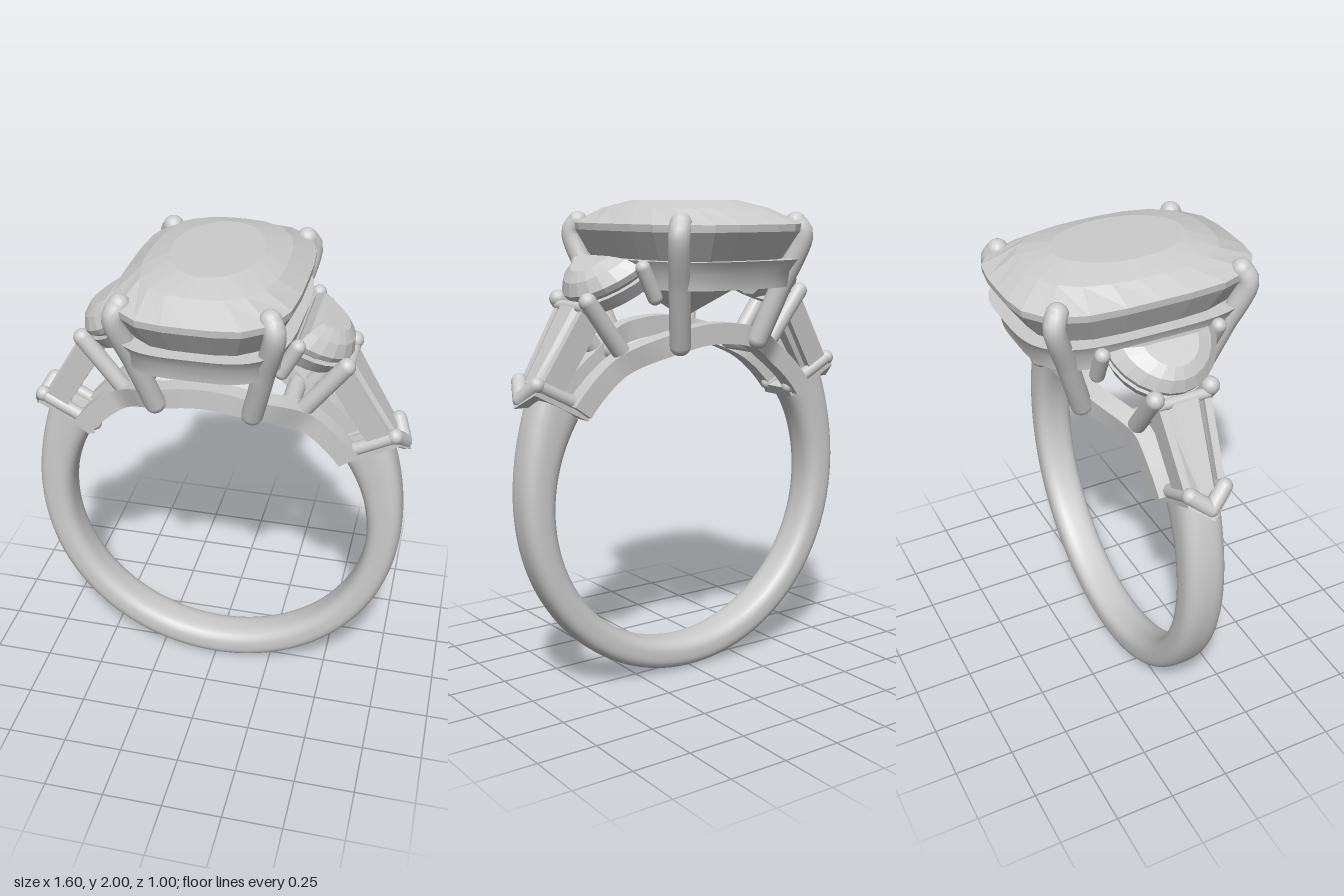
import * as THREE from 'three';
import { mergeGeometries, toCreasedNormals } from 'three/addons/utils/BufferGeometryUtils.js';

const V = (x, y, z) => new THREE.Vector3(x, y, z);
const RING_Y = 0.78, INNER_R = 0.65, RAD = Math.PI / 180;

// Skins equal-length point loops; ends are capped unless wrapped. Winding is fixed by volume.
function loft(loops, { wrap = false, crease = 0 } = {}) {
  const n = loops[0].length, pts = loops.flat(), tris = [];
  const rows = wrap ? loops.length : loops.length - 1;
  for (let i = 0; i < rows; i++) {
    for (let j = 0; j < n; j++) {
      const k = (j + 1) % n, a = i * n, b = ((i + 1) % loops.length) * n;
      tris.push([a + j, a + k, b + k], [a + j, b + k, b + j]);
    }
  }
  if (!wrap) {
    [0, loops.length - 1].forEach((row) => {
      const mid = V(0, 0, 0);
      loops[row].forEach((p) => mid.addScaledVector(p, 1 / n));
      const c = pts.push(mid) - 1;
      for (let j = 0; j < n; j++) {
        const a = row * n + j, b = row * n + (j + 1) % n;
        tris.push(row === 0 ? [c, b, a] : [c, a, b]);
      }
    });
  }
  let volume = 0;
  for (const [a, b, c] of tris) volume += pts[a].dot(V(0, 0, 0).crossVectors(pts[b], pts[c]));
  if (volume < 0) tris.forEach((t) => t.reverse());
  const geo = new THREE.BufferGeometry().setFromPoints(pts);
  geo.setIndex(tris.flat());
  if (crease) return toCreasedNormals(geo, crease);
  const flat = geo.toNonIndexed();
  flat.computeVertexNormals();
  return flat;
}

// Round bar along points, with domed ends
function bar(points, r) {
  const curve = points.length === 2 ? new THREE.LineCurve3(...points) : new THREE.CatmullRomCurve3(points);
  const parts = [new THREE.TubeGeometry(curve, points.length === 2 ? 1 : 24, r, 16)];
  for (const p of [points[0], points[points.length - 1]]) {
    parts.push(new THREE.SphereGeometry(r, 16, 12).translate(p.x, p.y, p.z));
  }
  return mergeGeometries(parts);
}

// Cushion-shaped outline in plan, evenly spread by angle
const cushionLoop = (n, x, z, y, { shift = 0, power = 3.6 } = {}) =>
  Array.from({ length: n }, (_, i) => {
    const a = (i + shift) / n * Math.PI * 2, c = Math.cos(a), s = Math.sin(a);
    const r = (Math.abs(c) ** power + Math.abs(s) ** power) ** (-1 / power);
    return V(x * r * c, y, z * r * s);
  });

export function createModel() {
  const group = new THREE.Group();
  const metal = new THREE.MeshStandardMaterial({ color: 0xcccccc });
  metal.name = 'paleGrey';
  const add = (name, geo) => {
    const mesh = new THREE.Mesh(geo, metal);
    mesh.name = name;
    group.add(mesh);
  };

  // Shank: rounded section that thickens toward the shoulders
  const shank = [];
  for (let i = 0; i <= 96; i++) {
    const t = i / 48 - 1, phi = (-90 + 124 * t) * RAD;
    const outer = 0.78 + 0.085 * Math.abs(t) ** 6;
    const mid = (outer + INNER_R) / 2, half = (outer - INNER_R) / 2;
    shank.push(cushionLoop(32, half, 0.087, 0, { power: 3 }).map((p) =>
      V((mid + p.x) * Math.cos(phi), RING_Y + (mid + p.x) * Math.sin(phi), p.z)));
  }
  add('shank', loft(shank, { crease: 0.7 }));

  // Gallery rails: close together at the shoulders, opening to a loop under the centre stone
  for (const s of [1, -1]) {
    const rail = [];
    for (let i = 0; i <= 56; i++) {
      const deg = 36 + 108 * i / 56, phi = deg * RAD;
      const open = THREE.MathUtils.smoothstep(90 - Math.abs(deg - 90), 54, 78);
      const z = 0.07 + 0.025 * Math.sin(phi) + 0.115 * open;
      const w = 0.038 + 0.03 * open * (1 - open);
      rail.push([[0.65, -w], [0.735, -w], [0.735, w], [0.65, w]].map(([r, dz]) =>
        V(r * Math.cos(phi), RING_Y + r * Math.sin(phi), s * (z + dz))));
    }
    add('galleryRail', loft(rail, { crease: 0.6 }));
  }

  // Centre stone: domed crown, thin girdle, pointed pavilion
  add('centreStone', loft([
    cushionLoop(24, 0.015, 0.02, 1.53),
    cushionLoop(24, 0.175, 0.25, 1.66, { shift: 0.5 }),
    cushionLoop(24, 0.29, 0.42, 1.77),
    cushionLoop(24, 0.348, 0.497, 1.88),
    cushionLoop(24, 0.35, 0.5, 1.908),
    cushionLoop(24, 0.27, 0.385, 1.968, { shift: 0.5, power: 2.8 }),
    cushionLoop(24, 0.18, 0.27, 2.0, { power: 2 }),
  ]));

  // Seat frame below the centre stone
  add('seatFrame', loft([
    cushionLoop(64, 0.345, 0.48, 1.77), cushionLoop(64, 0.285, 0.405, 1.77),
    cushionLoop(64, 0.255, 0.37, 1.66), cushionLoop(64, 0.315, 0.435, 1.66), cushionLoop(64, 0.32, 0.445, 1.72),
  ], { wrap: true, crease: 0.6 }));

  // Four main prongs, bent over the stone
  for (const sx of [1, -1]) {
    for (const sz of [1, -1]) {
      add('mainProng', bar([
        V(sx * 0.195, 1.44, sz * 0.255), V(sx * 0.25, 1.66, sz * 0.33),
        V(sx * 0.3, 1.87, sz * 0.4), V(sx * 0.28, 1.912, sz * 0.38),
      ], 0.043));
    }
  }

  for (const s of [1, -1]) {
    // Half-moon side stone, in a tilted frame: u downhill, n outward
    const moon = (u, n, z) => V(s * (0.35 + 0.84 * u + 0.54 * n), 1.74 - 0.54 * u + 0.84 * n, z);
    const moonLoop = (k, n) => {
      const loop = [];
      for (let i = 0; i <= 12; i++) {
        const a = (i / 12 - 0.5) * Math.PI;
        loop.push(moon(0.08 + k * (0.225 * Math.cos(a) ** 1.15 - 0.08), n, k * 0.22 * Math.sin(a)));
      }
      return loop;
    };
    add('halfMoonStone', loft([
      moonLoop(0.15, -0.12), moonLoop(0.97, -0.015), moonLoop(1, 0.01), moonLoop(0.8, 0.055), moonLoop(0.5, 0.082),
    ]));
    add('halfMoonSeat', loft([
      moonLoop(0.98, -0.035), moonLoop(0.72, -0.035), moonLoop(0.66, -0.09), moonLoop(0.86, -0.09),
    ], { wrap: true, crease: 0.5 }));

    // Tapered baguette stone, in its own tilted frame
    const bag = (u, n, z) => V(s * (0.55 + 0.52 * u + 0.855 * n), 1.605 - 0.855 * u + 0.52 * n, z);
    const bagLoop = (u, w) => [
      [0, 0.6], [-0.03, 1], [-0.05, 1], [-0.11, 0.4], [-0.11, -0.4], [-0.05, -1], [-0.03, -1], [0, -0.6],
    ].map(([n, k]) => bag(u, n, k * w));
    add('baguetteStone', loft([bagLoop(0, 0.085), bagLoop(0.355, 0.05)]));

    for (const sz of [1, -1]) {
      // Channel wall beside the baguette
      const wall = (u, z) => [[-0.01, 0.015], [-0.01, -0.015], [-0.11, -0.015], [-0.11, 0.015]]
        .map(([n, dz]) => bag(u, n, sz * (z + dz)));
      add('baguetteWall', loft([wall(0, 0.095), wall(0.36, 0.07)]));

      // Prongs for the side stones
      add('sideProng', bar([V(s * 0.36, 1.745, sz * 0.243), V(s * 0.3, 1.63, sz * 0.235)], 0.03));
      add('sharedProng', bar([V(s * 0.53, 1.615, sz * 0.115), V(s * 0.345, 1.37, sz * 0.105)], 0.036));

      // Shoulder chevron arms
      add('shoulderArm', bar([V(s * 0.515, 1.19, sz * 0.072), V(s * 0.735, 1.305, sz * 0.072)], 0.028));
      add('shoulderTip', bar([V(s * 0.735, 1.305, sz * 0.072), V(s * 0.768, 1.245, 0)], 0.032));
    }
    add('dividerBar', bar([V(s * 0.535, 1.59, -0.1), V(s * 0.535, 1.59, 0.1)], 0.022));
    add('galleryLink', bar([V(s * 0.31, 1.395, -0.1), V(s * 0.31, 1.395, 0.1)], 0.038));

    // Shoulder plate under the chevron
    const plate = (d) => [[0.5, 1.185, 0.09], [0.735, 1.31, 0.09], [0.78, 1.25, 0], [0.735, 1.31, -0.09], [0.5, 1.185, -0.09]]
      .map(([x, y, z]) => V(s * (x + 0.46 * d), y - 0.88 * d, z));
    add('shoulderPlate', loft([plate(0), plate(0.045)]));
  }
  return group;
}
